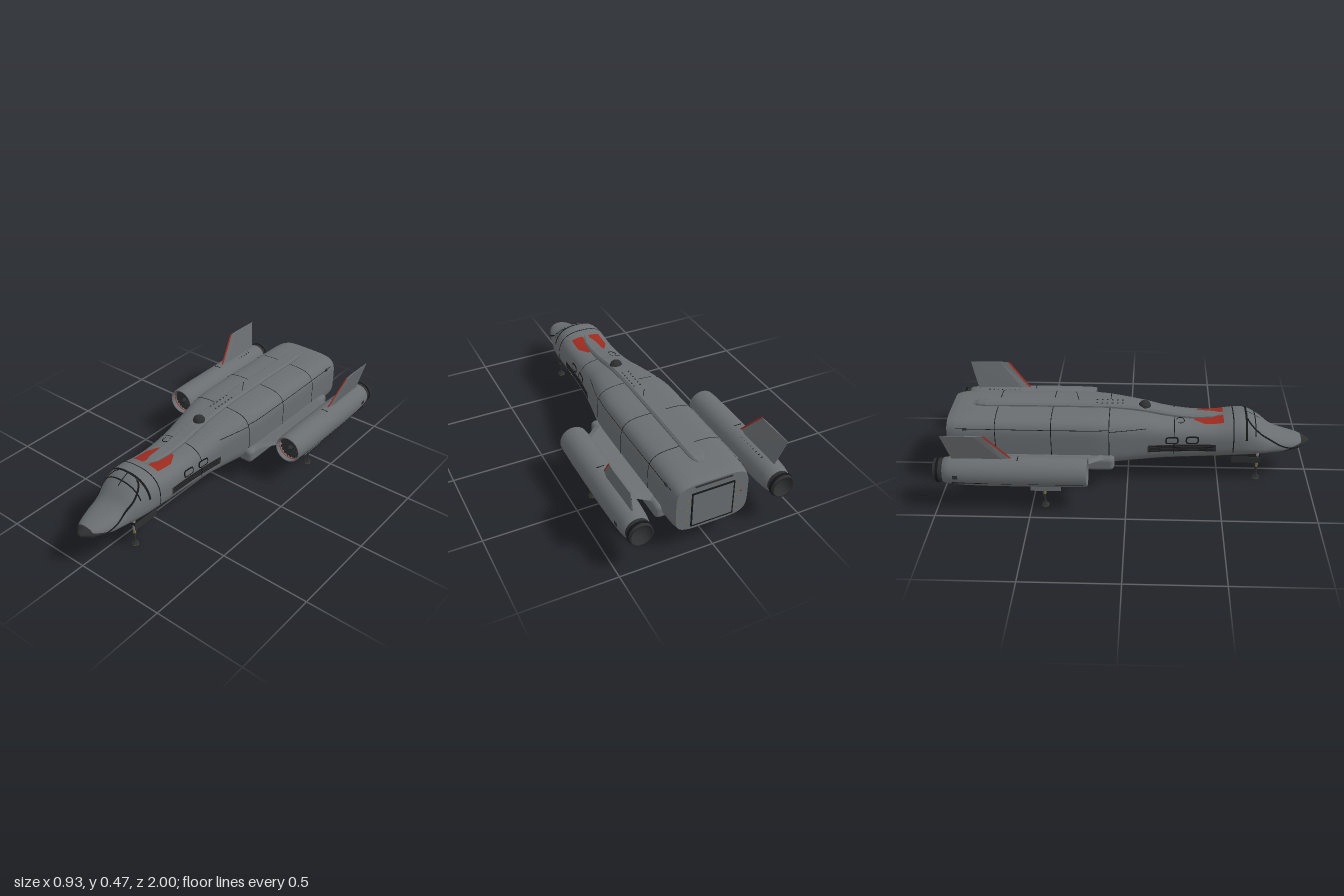
import * as THREE from 'three';
import { RoundedBoxGeometry } from 'three/addons/geometries/RoundedBoxGeometry.js';

const paint = (name, color) => {
  const m = new THREE.MeshStandardMaterial({ color, side: THREE.DoubleSide });
  m.name = name;
  return m;
};
const hull = paint('hull grey', 0x6a6e71), dark = paint('dark grey', 0x2e2f31), black = paint('black', 0x151617);
const red = paint('red', 0x9c2a1e), steel = paint('steel', 0x85878a), olive = paint('olive', 0x7d7440);

// Fuselage stations: z, half width, top, widest height, bottom, squareness
const stations = [
  [-0.97, 0.195, 0.386, 0.245, 0.118, 4.6], [-0.93, 0.204, 0.396, 0.25, 0.115, 4.5],
  [-0.8, 0.207, 0.403, 0.25, 0.114, 4.4], [-0.2, 0.207, 0.405, 0.25, 0.115, 4.4],
  [-0.1, 0.2, 0.403, 0.25, 0.118, 4], [0.08, 0.17, 0.385, 0.245, 0.122, 3.5],
  [0.2, 0.155, 0.362, 0.24, 0.126, 3.2], [0.35, 0.146, 0.345, 0.235, 0.13, 3],
  [0.48, 0.145, 0.35, 0.235, 0.135, 2.8], [0.58, 0.147, 0.37, 0.235, 0.14, 2.6],
  [0.65, 0.145, 0.37, 0.23, 0.142, 2.4], [0.72, 0.132, 0.332, 0.215, 0.146, 2.3],
  [0.78, 0.113, 0.283, 0.2, 0.15, 2.2], [0.85, 0.098, 0.254, 0.197, 0.155, 2.2],
  [0.93, 0.07, 0.235, 0.196, 0.165, 2.1], [0.97, 0.043, 0.222, 0.198, 0.175, 2], [1, 0.012, 0.207, 0.2, 0.19, 2]];

// Smooth interpolation between stations
function section(z) {
  let i = 0;
  while (i < stations.length - 2 && z > stations[i + 1][0]) i++;
  const a = stations[i], b = stations[i + 1], p = stations[i - 1] ?? a, q = stations[i + 2] ?? b;
  const d = b[0] - a[0], t = (z - a[0]) / d, t2 = t * t, t3 = t2 * t;
  return a.map((v, k) => v * (2 * t3 - 3 * t2 + 1) + b[k] * (3 * t2 - 2 * t3)
    + d * (t3 - 2 * t2 + t) * (b[k] - p[k]) / (b[0] - p[0]) + d * (t3 - t2) * (q[k] - a[k]) / (q[0] - a[0]));
}
// Point on the hull skin; angle runs from the top towards +x
function skin(z, angle, off = 0) {
  const [, w, top, mid, bottom, n] = section(z), s = Math.sin(angle), c = Math.cos(angle);
  const h = (c > 0 ? top - mid : mid - bottom) + off;
  return [(w + off) * Math.sign(s) * Math.abs(s) ** (2 / n), mid + h * Math.sign(c) * Math.abs(c) ** (2 / n), z];
}
const angleAt = (z, y) => {
  const [, , top, mid, bottom, n] = section(z);
  const t = Math.max(-1, Math.min(1, y > mid ? (y - mid) / (top - mid) : (y - mid) / (mid - bottom)));
  return Math.acos(Math.sign(t) * Math.abs(t) ** (n / 2));
};
const atY = y => z => angleAt(z, y);
const atX = x => z => {
  const [, w, , , , n] = section(z);
  return Math.sign(x) * Math.asin(Math.min(1, Math.abs(x) / w) ** (n / 2));
};

// Skin between closed rings, capped at both ends, turned to face outwards
function loft(rings, flat = false) {
  const n = rings[0].length, pos = rings.flat(2), idx = [];
  for (let r = 0; r < rings.length - 1; r++) for (let i = 0; i < n; i++) {
    const a = r * n + i, b = r * n + (i + 1) % n;
    idx.push(a, b, a + n, b, b + n, a + n);
  }
  [rings[0], rings.at(-1)].forEach((ring, end) => {
    const base = pos.length / 3;
    pos.push(...ring.flat());
    for (let i = 1; i < n - 1; i++) idx.push(base, base + i + (end ? 0 : 1), base + i + (end ? 1 : 0));
  });
  let volume = 0;
  const v = i => new THREE.Vector3().fromArray(pos, i * 3);
  for (let i = 0; i < idx.length; i += 3) volume += v(idx[i]).dot(v(idx[i + 1]).cross(v(idx[i + 2])));
  if (volume < 0) idx.reverse();
  let g = new THREE.BufferGeometry();
  g.setAttribute('position', new THREE.Float32BufferAttribute(pos, 3));
  g.setIndex(idx);
  if (flat) g = g.toNonIndexed();
  g.computeVertexNormals();
  return g;
}
// Thin painted sheet lying on the hull between two angle rules
function patch(z0, z1, f0, f1, off = 0.002, nz = 24, na = 4) {
  const g = new THREE.PlaneGeometry(1, 1, na, nz), p = g.attributes.position;
  for (let i = 0; i < p.count; i++) {
    const z = z0 + (z1 - z0) * (p.getY(i) + 0.5), a = f0(z), b = f1(z);
    p.setXYZ(i, ...skin(z, a + (b - a) * (p.getX(i) + 0.5), off));
  }
  g.computeVertexNormals();
  return g;
}

export function createModel() {
  const model = new THREE.Group();
  model.name = 'dropship';
  const add = (name, geo, mat, x = 0, y = 0, z = 0, parent = model) => {
    const m = new THREE.Mesh(geo, mat);
    m.name = name;
    m.position.set(x, y, z);
    parent.add(m);
    return m;
  };
  const box = (name, w, h, d, mat, x, y, z, parent) => add(name, new THREE.BoxGeometry(w, h, d), mat, x, y, z, parent);
  const fuselage = (z0, z1, steps) => loft(Array.from({ length: steps + 1 }, (_, k) =>
    Array.from({ length: 96 }, (_, i) => skin(z0 + (z1 - z0) * k / steps, i / 48 * Math.PI))));

  // Fuselage, nose and dark belly that rises under the nose
  add('fuselage', fuselage(-0.97, 0.955, 110), hull);
  add('noseTip', fuselage(0.955, 1, 8), dark);
  const bellyEdge = z => angleAt(z, section(z)[4] + 0.016 + 0.024 * THREE.MathUtils.smoothstep(z, 0.8, 0.93));
  add('belly', patch(-0.96, 0.957, bellyEdge, z => 2 * Math.PI - bellyEdge(z), 0.002, 110, 48), dark);

  // Panel seams and canopy hoops
  const hoop = (name, z, w, a) => add(name, patch(z, z + w, () => -a, () => a, 0.002, 2, 96), black);
  for (const z of [-0.71, -0.41, -0.1, 0.25]) hoop('panelSeam', z, 0.004, 1.9);
  hoop('canopySeam', 0.57, 0.006, 1.9);
  hoop('canopyHoop', 0.637, 0.012, 1.35);
  hoop('windshieldHoop', 0.69, 0.006, 1.1);
  add('windshieldPost', patch(0.65, 0.72, atX(-0.0025), atX(0.0025)), black);

  // Dorsal spine with its pointed front, dome and aerial
  const spineProfile = [[0.52, 0.004, 0.004], [0.46, 0.03, 0.012], [0.36, 0.038, 0.018], [0.25, 0.04, 0.02], [0.15, 0.04, 0.022],
    [0.05, 0.04, 0.021], [-0.1, 0.04, 0.018], [-0.4, 0.04, 0.018], [-0.78, 0.04, 0.016], [-0.82, 0.034, 0.013], [-0.85, 0.015, 0.002]];
  add('spine', loft(spineProfile.map(([z, w, h]) => {
    const y = section(z)[2];
    return [[-w, y - 0.03, z], [-w, y + h * 0.5, z], [-w * 0.75, y + h, z], [w * 0.75, y + h, z], [w, y + h * 0.5, z], [w, y - 0.03, z]];
  }), true), hull);
  add('sensorDome', new THREE.SphereGeometry(0.034, 24, 16), dark, 0, 0.397, 0.09);
  add('aerial', new THREE.CylinderGeometry(0.0015, 0.0015, 0.07, 6), black, 0.015, 0.437, -0.275).rotation.x = -0.25;
  for (let i = 0; i < 6; i++) for (const x of [-0.018, 0.018])
    box('spineVent', 0.006, 0.003, 0.009, dark, x, 0.4225, -0.03 - i * 0.028);
  add('roofHatch', new THREE.TorusGeometry(0.022, 0.002, 6, 24), black, -0.065, 0.348, 0.285).rotation.set(Math.PI / 2, 0.22, 0);

  // Rear loading door
  box('rearDoor', 0.22, 0.19, 0.006, hull, 0, 0.238, -0.972);
  for (const s of [-1, 1]) {
    box('doorFrameSide', 0.006, 0.196, 0.009, black, s * 0.112, 0.238, -0.972);
    box('doorFrameEdge', 0.23, 0.006, 0.009, black, 0, 0.238 + s * 0.097, -0.972);
    for (const y of [0.17, 0.235, 0.3]) box('doorMarker', 0.007, 0.009, 0.006, olive, s * 0.135, y, -0.97);
  }
  box('doorLight', 0.008, 0.008, 0.006, red, -0.155, 0.26, -0.97);
  box('doorLip', 0.2, 0.006, 0.012, dark, 0, 0.374, -0.97);

  for (const s of [-1, 1]) {
    const side = new THREE.Group();
    side.name = s > 0 ? 'leftSide' : 'rightSide';
    model.add(side);
    const put = (name, geo, mat, x = 0, y = 0, z = 0) => add(name, geo, mat, s * x, y, z, side);
    const block = (name, w, h, d, mat, x, y, z) => box(name, w, h, d, mat, s * x, y, z, side);
    const sheet = (name, z0, z1, f0, f1, mat, off) => put(name, patch(z0, z1, z => s * f0(z), z => s * f1(z), off), mat);

    // Painted hull details
    sheet('redPanel', 0.36, 0.52, z => atX(0.018 + Math.max(0, 0.42 - z) * 0.2)(z),
      z => atX(0.052 + Math.min(0.033, (z - 0.36) * 0.55))(z), red);
    const sill = z => 0.185 + 0.175 * (1 - (z - 0.65) / 0.3) ** 1.8;
    sheet('canopySill', 0.65, 0.949, z => angleAt(z, sill(z) + 0.004), z => angleAt(z, sill(z) - 0.004), black);
    sheet('sideGrille', 0.11, 0.48, atY(0.245), atY(0.202), dark, 0.0015);
    for (let i = 0; i < 4; i++) sheet('grilleSlot', 0.12, 0.47, atY(0.24 - i * 0.01), atY(0.236 - i * 0.01), black, 0.0025);
    const pane = (name, zc, w, h, mat, off) => {
      const half = z => h * Math.max(0, 1 - Math.abs((z - zc) / w) ** 4) ** 0.25;
      sheet(name, zc - w, zc + w, z => angleAt(z, 0.27 + half(z)), z => angleAt(z, 0.27 - half(z)), mat, off);
    };
    for (const z of [0.24, 0.35]) {
      pane('windowFrame', z, 0.037, 0.021, black, 0.002);
      pane('windowPane', z, 0.029, 0.014, hull, 0.0035);
    }
    sheet('noseMarker', 0.43, 0.5, atY(0.17), atY(0.16), olive);
    sheet('shoulderSeam', -0.92, -0.1, atY(0.352), atY(0.349), black);
    sheet('sideSeam', -0.1, 0.1, atY(0.342), atY(0.339), black);
    block('rearThruster', 0.02, 0.022, 0.025, dark, 0.191, 0.345, -0.87);

    // Lower sponson with dark underside, and wing stub
    put('sponson', new RoundedBoxGeometry(0.09, 0.08, 0.78, 5, 0.024), hull, 0.19, 0.16, -0.46);
    block('sponsonUnderside', 0.05, 0.004, 0.74, dark, 0.19, 0.1195, -0.46);
    const wingRing = (x, y, t, z0, z1) => [[s * x, y, z0], [s * x, y + t, z0 - 0.04], [s * x, y + t, z1 + 0.04],
      [s * x, y, z1], [s * x, y - t, z1 + 0.04], [s * x, y - t, z0 - 0.04]];
    put('wing', loft([wingRing(0.17, 0.183, 0.014, -0.05, -0.82), wingRing(0.225, 0.193, 0.013, -0.12, -0.79),
      wingRing(0.33, 0.214, 0.01, -0.23, -0.74)], true), hull);

    // Engine nacelle, revolved about z
    const engine = (name, pts, mat) => put(name, new THREE.LatheGeometry(pts.map(p => new THREE.Vector2(...p)), 40)
      .rotateX(Math.PI / 2), mat, 0.386, 0.215, 0);
    engine('nacelle', [[0.05, -0.95], [0.066, -0.95], [0.073, -0.91], [0.078, -0.84], [0.081, -0.7], [0.081, -0.35],
      [0.079, -0.24], [0.076, -0.205], [0.073, -0.2], [0.07, -0.203], [0.069, -0.25]], hull);
    engine('nozzle', [[0, -0.955], [0.045, -0.955], [0.054, -1], [0.061, -1], [0.063, -0.975], [0.06, -0.935]], dark);
    engine('nozzleRing', [[0.061, -0.985], [0.066, -0.985], [0.066, -0.972], [0.061, -0.972]], black);
    engine('intakeBack', [[0.07, -0.245], [0, -0.245]], black);
    engine('fanHub', [[0.016, -0.245], [0.013, -0.225], [0, -0.21]], dark);
    engine('intakeRing', [[0.0695, -0.226], [0.0675, -0.226], [0.0675, -0.23]], red);
    for (let i = 0; i < 20; i++) {
      const blade = put('fanBlade', new THREE.BoxGeometry(0.015, 0.054, 0.003).translate(0, 0.04, 0), dark, 0.386, 0.215, -0.237);
      blade.rotation.set(0, 0.2, i / 20 * Math.PI * 2, 'ZYX');
    }
    block('nacelleSeam', 0.04, 0.004, 0.004, black, 0.392, 0.2945, -0.56);
    block('nacelleRail', 0.006, 0.004, 0.68, black, 0.456, 0.181, -0.56);
    block('nacelleThruster', 0.012, 0.02, 0.026, dark, 0.457, 0.217, -0.88);
    for (let i = 0; i < 8; i++) block('nacelleSlot', 0.012, 0.005, 0.004, black, 0.362, 0.2885, -0.66 - i * 0.025);

    // Swept tail fin with red leading edge
    const finRing = (x, y, t, z0, z1) => [[s * x, y, z0], [s * (x + t), y, z0 - 0.05], [s * (x + t * 0.4), y, z1],
      [s * (x - t * 0.4), y, z1], [s * (x - t), y, z0 - 0.05]];
    put('fin', loft([finRing(0.386, 0.275, 0.011, -0.58, -0.9), finRing(0.42, 0.442, 0.004, -0.72, -0.945)], true), hull);
    const edge = (x, y, z) => [[s * x, y, z + 0.004], [s * (x + 0.004), y, z - 0.007], [s * (x - 0.004), y, z - 0.007]];
    put('finEdge', loft([edge(0.386, 0.285, -0.588), edge(0.42, 0.442, -0.72)], true), red);

    // Landing legs: strut, piston, brace and foot
    const leg = (name, x, z) => {
      const rod = (part, r0, r1, y0, y1, mat) =>
        put(name + part, new THREE.CylinderGeometry(r1, r0, y1 - y0, 14), mat, x, (y0 + y1) / 2, z);
      rod('Strut', 0.0075, 0.008, 0.098, 0.16, steel);
      rod('Collar', 0.0075, 0.0075, 0.074, 0.099, olive);
      rod('Piston', 0.005, 0.005, 0.02, 0.08, dark);
      rod('Ankle', 0.01, 0.006, 0.012, 0.03, dark);
      rod('Foot', 0.022, 0.014, 0.004, 0.014, dark);
      rod('Pad', 0.02, 0.021, 0, 0.005, olive);
      block(name + 'Brace', 0.004, 0.085, 0.004, dark, x, 0.085, z - 0.014).rotation.x = -0.25;
    };
    leg('frontLeg', 0.09, 0.715);
    leg('rearLeg', 0.384, -0.43);
    block('frontGearDoor', 0.005, 0.036, 0.16, dark, 0.112, 0.13, 0.65);
    block('frontGearBay', 0.045, 0.006, 0.16, black, 0.085, 0.14, 0.65);
    for (const x of [0.357, 0.413]) block('rearGearDoor', 0.003, 0.034, 0.16, hull, x, 0.127, -0.42);
    block('rearGearBay', 0.054, 0.008, 0.16, black, 0.385, 0.137, -0.42);
  }
  return model;
}
